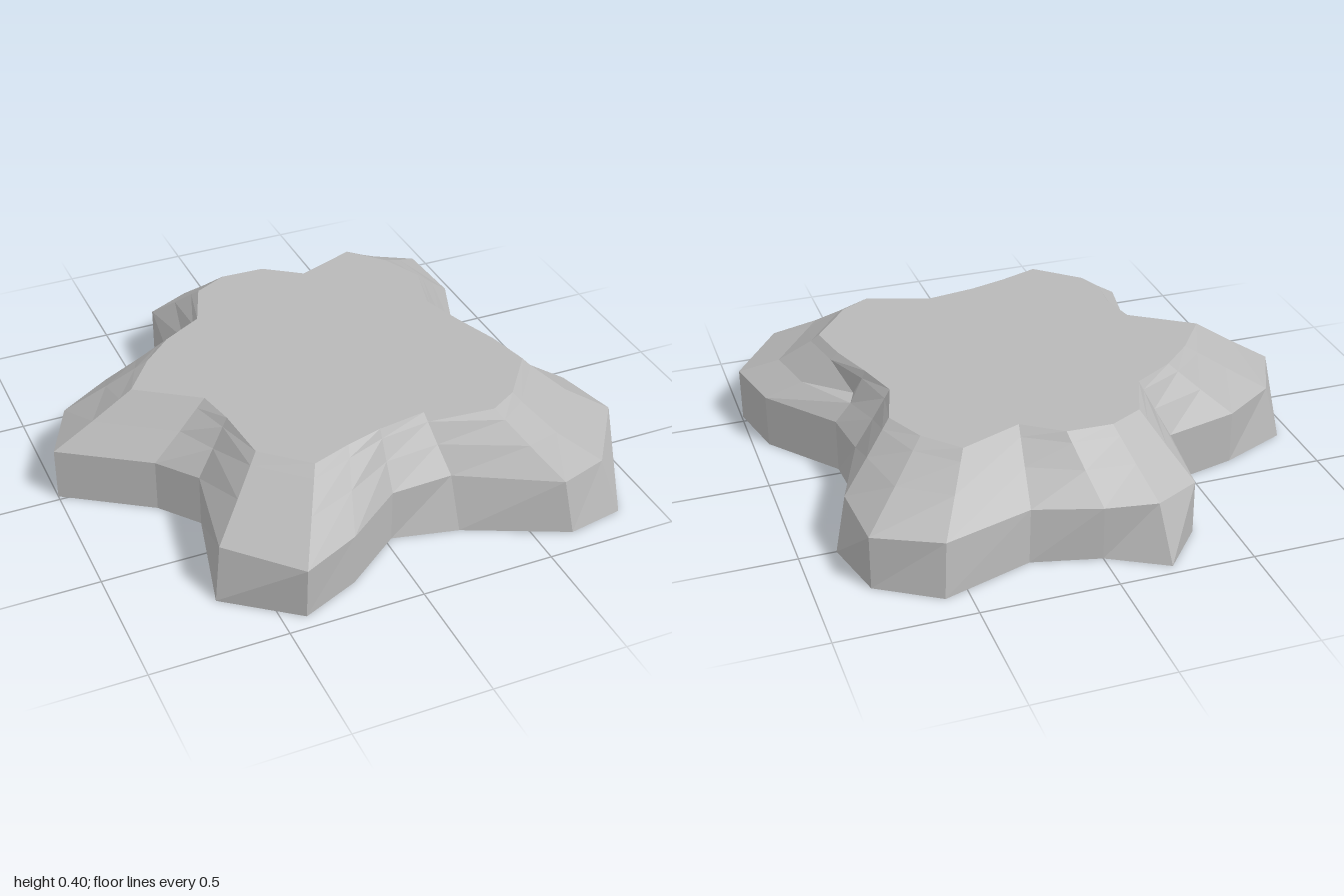
import * as THREE from 'three';

// Outline stations around the slab: foot x, z, rim x, z, then optional shoulder x, z
const stations = [
  [-0.21, -0.96, -0.11, -0.625, -0.19, -0.87],
  [0, -0.84, 0.06, -0.62],
  [0.25, -0.78, 0.2, -0.52, 0.24, -0.765],
  [0.585, -0.89, 0.43, -0.61, 0.57, -0.865],
  [0.805, -0.75, 0.545, -0.485],
  [0.865, -0.5, 0.615, -0.33, 0.82, -0.475],
  [0.72, -0.17, 0.56, -0.135, 0.705, -0.17],
  [0.73, 0.03, 0.61, 0.03],
  [0.94, 0.295, 0.67, 0.2],
  [0.995, 0.535, 0.705, 0.365],
  [0.855, 0.87, 0.565, 0.545, 0.8, 0.81],
  [0.64, 0.91, 0.455, 0.61, 0.615, 0.87],
  [0.27, 0.74, 0.215, 0.53, 0.26, 0.675],
  [0.025, 0.685, 0.03, 0.56],
  [-0.195, 0.85, -0.11, 0.6],
  [-0.415, 0.945, -0.26, 0.655, -0.415, 0.955],
  [-0.67, 0.75, -0.42, 0.51, -0.64, 0.72],
  [-0.57, 0.335, -0.44, 0.285],
  [-0.685, 0.19, -0.47, 0.14],
  [-1, -0.02, -0.695, -0.015],
  [-0.94, -0.28, -0.58, -0.17, -0.89, -0.255],
  [-0.685, -0.39, -0.465, -0.28],
  [-0.405, -0.46, -0.31, -0.37],
  [-0.36, -0.785, -0.235, -0.56],
];
const NOTCH = 7; // station where the small pit in the slope begins

function makeMesh(name, triangles, material) {
  const geometry = new THREE.BufferGeometry();
  geometry.setAttribute('position', new THREE.Float32BufferAttribute(triangles.flat(2), 3));
  geometry.computeVertexNormals();
  const mesh = new THREE.Mesh(geometry, material);
  mesh.name = name;
  return mesh;
}

export function createModel() {
  const stone = new THREE.MeshStandardMaterial({ color: 0xb8b8b8 });
  stone.name = 'grey stone';

  // Each station becomes a column of points: foot, shoulder, slope, lip, rim
  const columns = stations.map(([fx, fz, rx, rz, sx = fx, sz = fz], i) => {
    const at = (t, y) => [sx + (rx - sx) * t, y, sz + (rz - sz) * t];
    const concave = i >= 7 && i <= 10;
    return [[fx, 0, fz], at(0, 0.205), at(0.5, concave ? 0.275 : 0.3),
      at(concave ? 0.9 : 0.85, 0.37), [rx, 0.4, rz]];
  });

  const wall = [], slope = [], top = [], base = [], pit = [];
  columns.forEach((a, i) => {
    const b = columns[(i + 1) % columns.length];
    for (let k = 0; k < 4; k++) {
      const quad = [b[k], a[k], a[k + 1], b[k + 1]];
      if (i === NOTCH && k === 2) {
        // Small sunken pit in the slope
        const deep = [0.64, 0.27, 0.11];
        quad.forEach((p, j) => pit.push([p, quad[(j + 1) % 4], deep]));
      } else {
        (k === 0 ? wall : slope).push([quad[0], quad[1], quad[2]], [quad[0], quad[2], quad[3]]);
      }
    }
    top.push([[0, 0.4, 0], b[4], a[4]]);
    base.push([[0, 0, 0], a[0], b[0]]);
  });

  const group = new THREE.Group();
  group.name = 'rockSlab';
  group.add(
    makeMesh('lowerWall', wall, stone),
    makeMesh('slopedEdge', slope, stone),
    makeMesh('slopePit', pit, stone),
    makeMesh('flatTop', top, stone),
    makeMesh('underside', base, stone),
  );
  return group;
}
